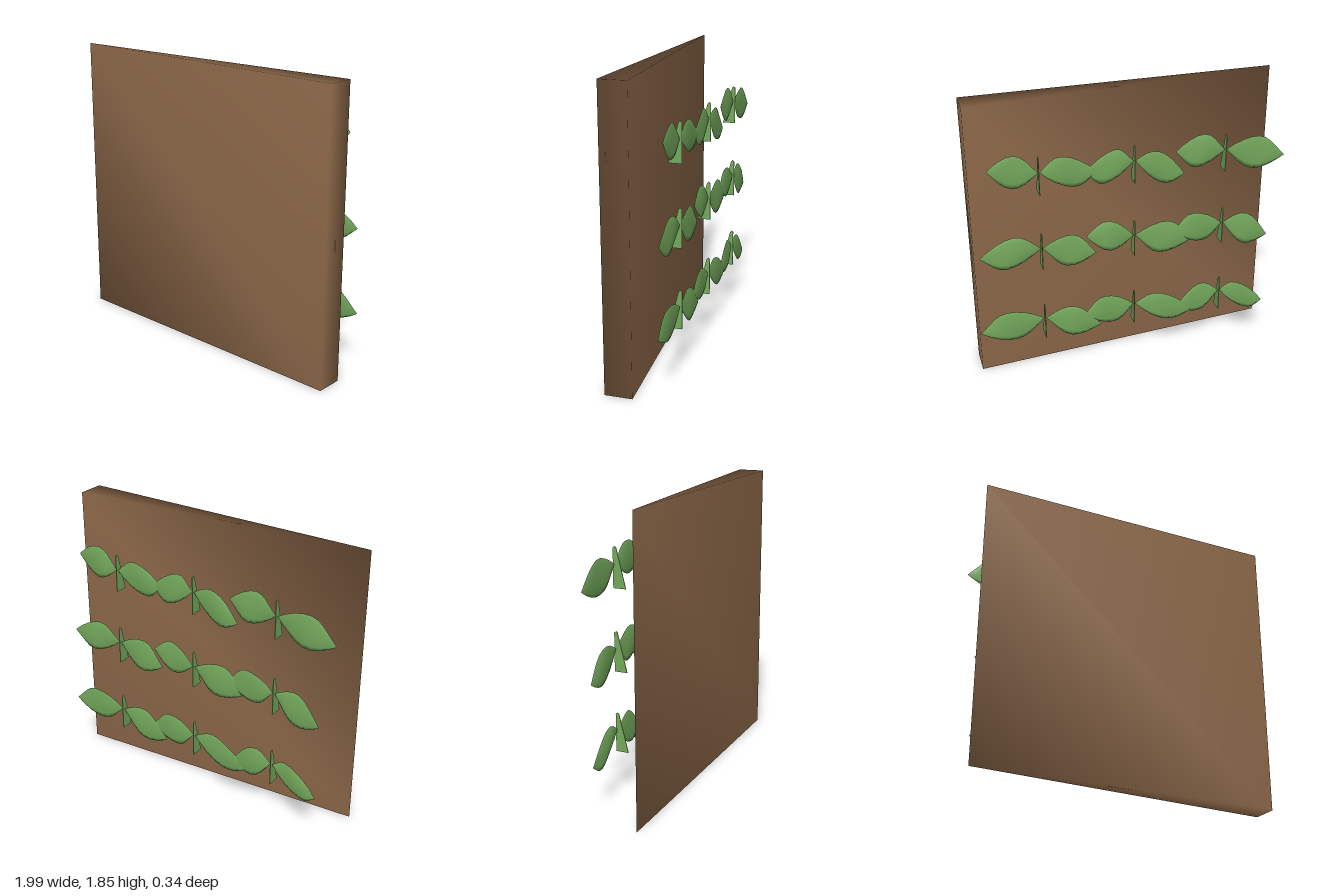
import * as THREE from 'three';
import { mergeVertices } from 'three/addons/utils/BufferGeometryUtils.js';

const earth = new THREE.MeshStandardMaterial({ color: 0x8f6a4a });
const green = new THREE.MeshStandardMaterial({ color: 0x74a95c, side: THREE.DoubleSide });

// Extrude a polygon without bevel
function prism(points, depth) {
  const shape = new THREE.Shape(points.map(([x, y]) => new THREE.Vector2(x, y)));
  return new THREE.ExtrudeGeometry(shape, { depth, bevelEnabled: false });
}

// Wedge-shaped wall, shaded smoothly across its corners
function createWall() {
  let geo = prism([[-1, -0.166], [0.98, -0.172], [0.98, 0]], 1.845);
  geo.rotateX(-Math.PI / 2);
  geo.deleteAttribute('normal');
  geo.deleteAttribute('uv');
  geo = mergeVertices(geo, 1e-4);
  geo.computeVertexNormals();
  const wall = new THREE.Mesh(geo, earth);
  wall.name = 'wall';
  return wall;
}

// Thin lens-shaped leaf between two points (left one first), slightly crumpled
function createLeaf([x0, y0], [x1, y1], phase) {
  const geo = new THREE.SphereGeometry(1, 8, 8).rotateZ(-Math.PI / 2);
  const pos = geo.attributes.position;
  for (let i = 0; i < pos.count; i++) {
    const t = 1 - Math.acos(THREE.MathUtils.clamp(pos.getX(i), -1, 1)) / Math.PI;
    const across = pos.getY(i);
    const skew = 0.035 * across * Math.sin(phase) * Math.sin(Math.PI * t);
    pos.setXYZ(i,
      x0 + (x1 - x0) * t + skew,
      y0 + (y1 - y0) * t + across * 0.105,
      pos.getZ(i) * 0.012 + 0.005 * across * Math.sin(t * 7 + phase));
  }
  geo.computeVertexNormals();
  const leaf = new THREE.Mesh(geo, green);
  leaf.name = 'leaf';
  return leaf;
}

// Flat tapering stem standing in the yz plane
function createStem() {
  const geo = prism([[0.09, 0], [0.172, 0], [0.172, 0.24], [0.16, 0.25], [0.15, 0.24]], 0.005);
  geo.rotateY(Math.PI / 2).translate(-0.0025, 0, 0);
  const stem = new THREE.Mesh(geo, green);
  stem.name = 'stem';
  return stem;
}

export function createModel() {
  const model = new THREE.Group();
  model.name = 'wallWithVines';
  model.add(createWall());

  // Leaf tips per row, as [x, height above the row], two to each stem
  const stems = [-0.595, -0.01, 0.578];
  const rows = [
    { y: 0.29, tips: [[-0.91, 0.01], [-0.31, 0.08], [-0.41, 0.03], [0.32, 0.12], [0.21, 0.03], [0.99, 0.1]] },
    { y: 0.8, tips: [[-0.91, 0.01], [-0.27, 0.13], [-0.39, 0.06], [0.3, 0.18], [0.235, 0.06], [0.965, 0.13]] },
    { y: 1.31, tips: [[-0.99, 0.06], [-0.27, 0.17], [-0.33, 0.02], [0.3, 0.11], [0.228, 0.11], [0.885, 0.19]] },
  ];
  rows.forEach(({ y, tips }, r) => {
    const vine = new THREE.Group();
    vine.name = 'vineRow';
    vine.position.y = y;
    stems.forEach((x, s) => {
      const stem = createStem();
      stem.position.x = x;
      vine.add(stem);
      for (let side = 0; side < 2; side++) {
        const tip = tips[s * 2 + side];
        const root = [x + (side ? 0.005 : -0.005), 0.145];
        const leaf = side ? createLeaf(root, tip, s + r * 2) : createLeaf(tip, root, s + r * 2 + 1.5);
        leaf.position.z = -0.16;
        vine.add(leaf);
      }
    });
    model.add(vine);
  });
  return model;
}
